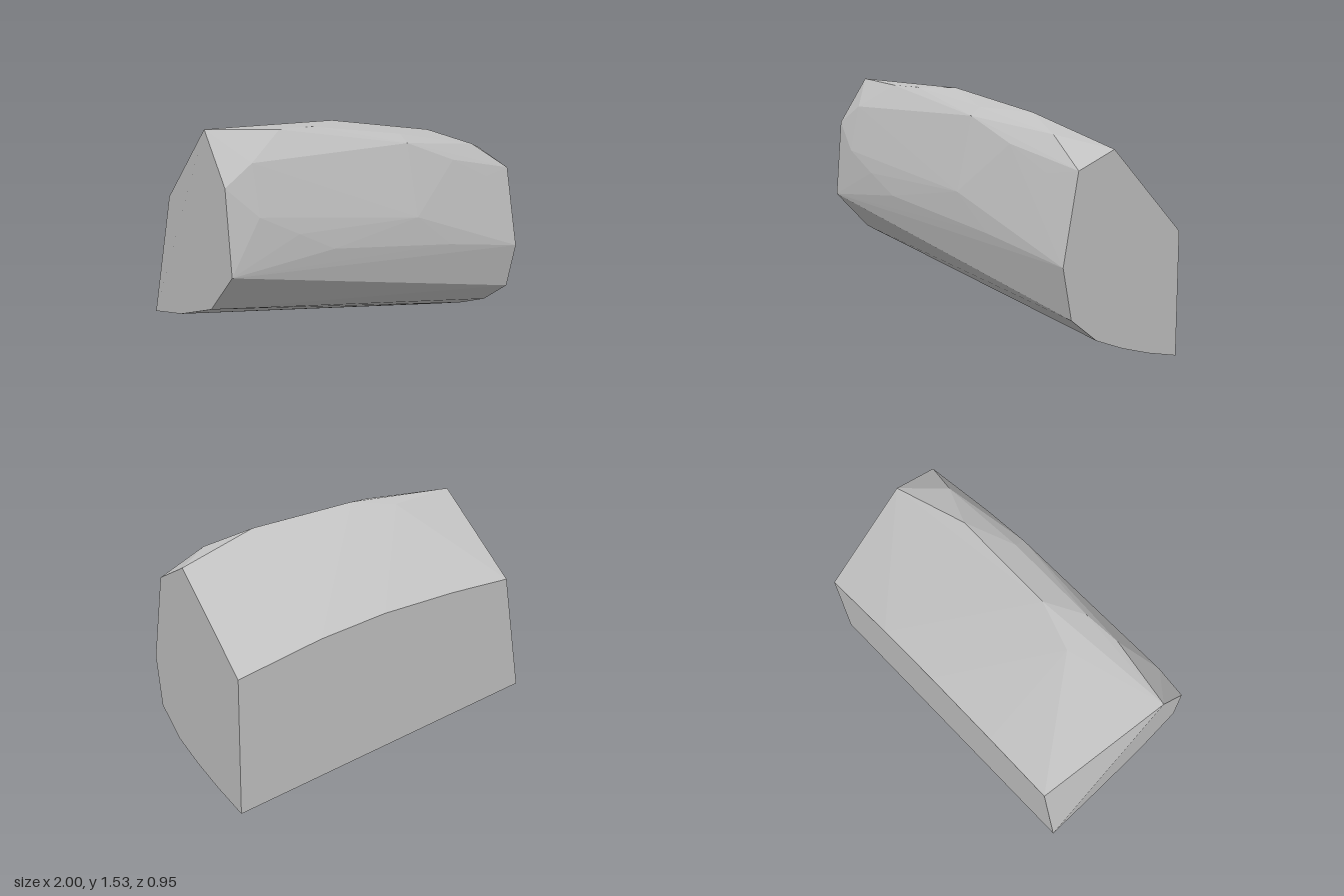
import * as THREE from 'three';
import { ConvexGeometry } from 'three/addons/geometries/ConvexGeometry.js';

// A faceted convex stone block, spanned between two end outlines.
export function createModel() {
  const stone = new THREE.MeshStandardMaterial({ color: 0xc0c0c0 });
  const back = -0.473;

  // End outlines as [z, y], running from the bottom back edge round the front
  const lowEnd = [
    [back, 0], [-0.23, 0.065], [0, 0.14], [0.21, 0.225], [0.405, 0.37],
    [0.47, 0.65], [0.365, 1.125], [0.095, 1.215], [back, 0.72],
  ];
  const highEnd = [
    [back, 0.365], [-0.14, 0.445], [0.215, 0.575],
    [0.45, 0.81], [0.405, 1.265], [0.21, 1.535],
  ];

  // Worn corners between the ends as [x, y, z]
  const backEdge = [
    [-0.88, 1.04, back], [-0.44, 1.005, back], [0.06, 0.945, back], [0.49, 0.86, back],
  ];
  const ridge = [
    [-0.45, 1.475, 0.065], [-0.17, 1.497, 0.15], [0.5, 1.385, 0.185],
    [-0.6, 1.505, 0.283], [-0.38, 1.497, 0.27], [0.2, 1.405, 0.298], [0.76, 1.288, 0.297],
  ];
  const frontBulge = [
    [-0.83, 1.37, 0.385], [0.2, 1.36, 0.365], [0.53, 1.23, 0.385], [0.8, 1.1, 0.39],
    [-0.83, 1.1, 0.45], [-0.6, 0.98, 0.466], [-0.38, 0.865, 0.473],
    [0.2, 0.95, 0.47], [0.45, 0.75, 0.474],
  ];

  const corners = [
    ...lowEnd.map(([z, y]) => new THREE.Vector3(1, y, z)),
    ...highEnd.map(([z, y]) => new THREE.Vector3(-1, y, z)),
    ...[...backEdge, ...ridge, ...frontBulge].map((p) => new THREE.Vector3(...p)),
  ];

  const block = new THREE.Mesh(new ConvexGeometry(corners), stone);
  block.name = 'stoneBlock';
  stone.name = 'stoneGrey';

  const group = new THREE.Group();
  group.name = 'stone';
  group.add(block);
  return group;
}
